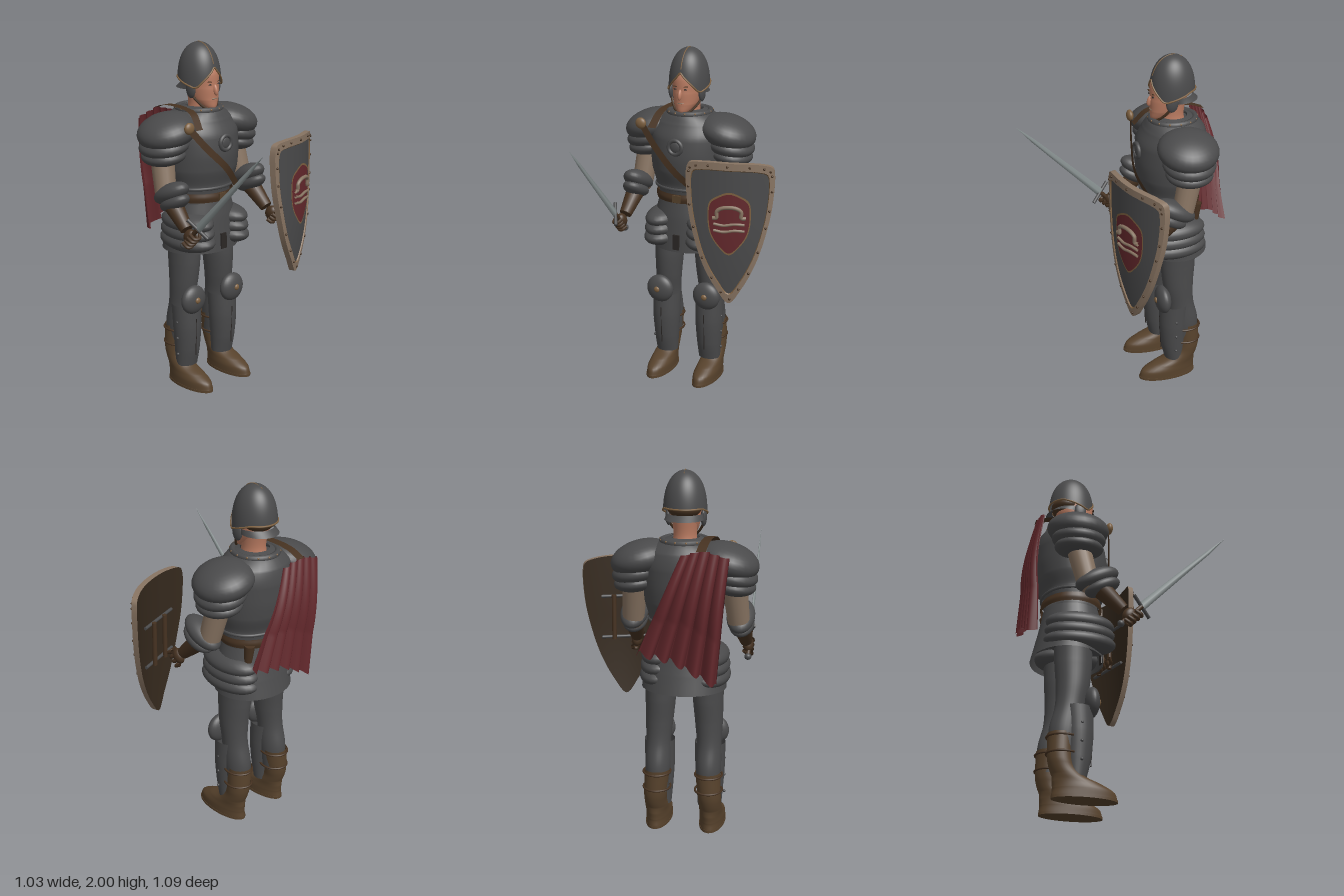
import * as THREE from 'three';
import { ParametricGeometry } from 'three/addons/geometries/ParametricGeometry.js';

const V = (x, y, z) => new THREE.Vector3(x, y, z);
const paint = (name, color) => Object.assign(new THREE.MeshStandardMaterial({ color, side: THREE.DoubleSide }), { name });
const M = {
  iron: paint('dark iron', 0x4a4a4b), steel: paint('blade steel', 0x8b9494), leather: paint('leather', 0x463221),
  boot: paint('boot leather', 0x57422c), hide: paint('pale hide', 0x887462), red: paint('dark red cloth', 0x64282c),
  skin: paint('skin', 0xbb7c62), wood: paint('dark wood', 0x35291d), brass: paint('brass', 0x7d6040), dark: paint('near black', 0x2b2725),
};

function add(parent, name, mat, geo) {
  const m = new THREE.Mesh(geo, mat);
  m.name = name;
  parent.add(m);
  return m;
}
function ball(parent, name, mat, p, r, rot = [0, 0, 0]) {
  const m = add(parent, name, mat, new THREE.SphereGeometry(1, 28, 18));
  m.position.set(...p); m.scale.set(...r); m.rotation.set(...rot);
  return m;
}
function box(parent, name, mat, p, s) {
  const m = add(parent, name, mat, new THREE.BoxGeometry(...s));
  m.position.set(...p);
  return m;
}
// Tapered cylinder between two points
function rod(parent, name, mat, a, b, ra, rb = ra) {
  const p = V(...a), d = V(...b).sub(p);
  const m = add(parent, name, mat, new THREE.CylinderGeometry(rb, ra, d.length(), 18));
  m.position.copy(p).addScaledVector(d, 0.5);
  m.quaternion.setFromUnitVectors(V(0, 1, 0), d.normalize());
  return m;
}
const sheet = (parent, name, mat, nu, nv, fn) =>
  add(parent, name, mat, new ParametricGeometry((u, v, t) => t.set(...fn(u, v)), nu, nv));
// Smooth stack of horizontal ellipses: [x, y, z, rx, rz]
function loft(parent, name, mat, rings) {
  const c = new THREE.CatmullRomCurve3(rings.map(r => V(r[0], r[1], r[2])));
  const q = new THREE.CatmullRomCurve3(rings.map(r => V(r[3], r[4], 0)));
  return sheet(parent, name, mat, 32, rings.length * 5, (u, v) => {
    const p = c.getPoint(v), r = q.getPoint(v), a = u * Math.PI * 2;
    return [p.x + Math.max(r.x, 0.001) * Math.cos(a), p.y, p.z - Math.max(r.y, 0.001) * Math.sin(a)];
  });
}
function tube(parent, name, mat, pts, r, closed = false) {
  const c = new THREE.CatmullRomCurve3(pts.map(p => V(...p)), closed);
  return add(parent, name, mat, new THREE.TubeGeometry(c, pts.length * 5, r, 8, closed));
}
function ribbon(parent, name, mat, pts, w) {
  const c = new THREE.CatmullRomCurve3(pts.map(p => V(...p)));
  return sheet(parent, name, mat, 2, 28, (u, v) => {
    const p = c.getPoint(v);
    return [p.x + (u - 0.5) * w[0], p.y + (u - 0.5) * w[1], p.z + (u - 0.5) * w[2]];
  });
}
function ring(parent, name, mat, p, rx, rz, t) {
  const m = add(parent, name, mat, new THREE.TorusGeometry(1, t / rx, 8, 36));
  m.position.set(...p); m.rotation.x = Math.PI / 2; m.scale.set(rx, rz, rx);
  return m;
}

function buildHead(g) {
  loft(g, 'neck', M.skin, [[0, 1.58, -0.27, 0.075, 0.08], [0, 1.66, -0.265, 0.062, 0.07], [0, 1.76, -0.27, 0.07, 0.08]]);
  loft(g, 'face', M.skin, [[0, 1.635, -0.185, 0.005, 0.005], [0, 1.645, -0.195, 0.035, 0.05], [0, 1.69, -0.225, 0.066, 0.085],
    [0, 1.75, -0.245, 0.08, 0.107], [0, 1.83, -0.25, 0.085, 0.11], [0, 1.9, -0.26, 0.07, 0.09], [0, 1.95, -0.26, 0.005, 0.005]]);
  ball(g, 'hair', M.leather, [0, 1.805, -0.295], [0.09, 0.055, 0.088]);
  ball(g, 'nose', M.skin, [0, 1.747, -0.138], [0.012, 0.032, 0.016], [-0.25, 0, 0]);
  ball(g, 'lips', M.hide, [0, 1.697, -0.145], [0.022, 0.004, 0.008]);
  for (const s of [-1, 1]) {
    ball(g, 'eye', M.dark, [s * 0.032, 1.777, -0.145], [0.01, 0.004, 0.005]);
    ball(g, 'eyebrow', M.leather, [s * 0.034, 1.793, -0.145], [0.016, 0.003, 0.005], [0, 0, s * 0.12]);
    ball(g, 'cheekPlate', M.iron, [s * 0.094, 1.75, -0.235], [0.016, 0.05, 0.035]);
    tube(g, 'chinStrap', M.leather, [[s * 0.1, 1.76, -0.25], [s * 0.085, 1.7, -0.215], [s * 0.04, 1.645, -0.175], [0, 1.637, -0.16]], 0.007);
  }
  // Helmet dome with a peaked opening over the brow
  const rim = a => a < 0.95 ? 1.868 - 0.11 * a / 0.95 : 1.758 + 0.05 * Math.min(1, (a - 0.95) / 1.2);
  const dome = (ang, k, grow = 1) => {
    const a = Math.abs(Math.atan2(Math.sin(ang), Math.cos(ang)));
    const y = rim(a) + (2.0 - rim(a)) * Math.sin(k * Math.PI / 2);
    const r = grow * Math.sqrt(Math.max(0.0001, 1 - Math.pow((y - 1.74) / 0.26, 2.9)));
    return [Math.sin(ang) * 0.117 * r, y, -0.268 + Math.cos(ang) * 0.13 * r];
  };
  sheet(g, 'helmet', M.iron, 60, 24, (u, v) => dome(u * Math.PI * 2, v));
  tube(g, 'helmetTrim', M.brass, Array.from({ length: 36 }, (_, i) => dome(i / 36 * Math.PI * 2, 0, 1.01)), 0.005, true);
  tube(g, 'helmetCrest', M.brass, [...[0.1, 0.3, 0.5, 0.7].map(k => dome(0, k, 1.005)), [0, 2.0, -0.26], dome(Math.PI, 0.75, 1.005)], 0.003);
  sheet(g, 'neckGuard', M.iron, 30, 3, (u, v) => {
    const a = Math.PI * (0.5 + u), f = 0.85 + 0.27 * v * Math.sin(u * Math.PI);
    return [0.117 * Math.sin(a) * f, 1.775 - 0.03 * v, -0.268 + 0.13 * Math.cos(a) * f];
  });
}

function buildTorso(g) {
  loft(g, 'cuirass', M.iron, [[0, 1.19, -0.26, 0.194, 0.165], [0, 1.22, -0.26, 0.196, 0.167], [0, 1.3, -0.262, 0.218, 0.192], [0, 1.4, -0.264, 0.226, 0.202],
    [0, 1.5, -0.27, 0.23, 0.198], [0, 1.58, -0.28, 0.2, 0.172], [0, 1.63, -0.275, 0.13, 0.135], [0, 1.65, -0.275, 0.08, 0.08]]);
  loft(g, 'waist', M.iron, [[0, 1.02, -0.26, 0.18, 0.16], [0, 1.12, -0.26, 0.178, 0.155], [0, 1.22, -0.26, 0.178, 0.155]]);
  ring(g, 'gorget', M.iron, [0, 1.63, -0.275], 0.118, 0.125, 0.018);
  for (let i = 0; i < 14; i++) {
    const a = i / 14 * Math.PI * 2;
    ball(g, 'gorgetStud', M.brass, [0.13 * Math.cos(a), 1.637, -0.275 + 0.138 * Math.sin(a)], [0.006, 0.006, 0.006]);
  }
  ring(g, 'cuirassEdge', M.iron, [0, 1.2, -0.26], 0.194, 0.166, 0.009);
  // Chest medallion
  for (const [name, mat, r, t] of [['medallionRing', M.iron, 0.04, 0.012], ['medallionTrim', M.brass, 0.024, 0.004]])
    add(g, name, mat, new THREE.TorusGeometry(r, t, 8, 28)).position.set(0.005, 1.46, -0.062);
  ball(g, 'medallion', M.iron, [0.005, 1.46, -0.067], [0.035, 0.035, 0.014]);
  loft(g, 'belt', M.leather, [[0, 1.12, -0.26, 0.188, 0.166], [0, 1.145, -0.26, 0.193, 0.171], [0, 1.172, -0.26, 0.188, 0.166]]);
  box(g, 'beltBuckle', M.boot, [0, 1.147, -0.088], [0.05, 0.042, 0.012]);
  rod(g, 'pouch', M.leather, [0.13, 1.14, -0.38], [0.13, 1.03, -0.37], 0.03, 0.022);
  // Skirt and layered hip plates
  loft(g, 'skirt', M.iron, [[0, 0.825, -0.28, 0.232, 0.2], [0, 0.93, -0.27, 0.222, 0.185], [0, 1.03, -0.262, 0.2, 0.17], [0, 1.12, -0.26, 0.175, 0.155]]);
  box(g, 'skirtSlit', M.dark, [0, 0.885, -0.082], [0.04, 0.09, 0.014]);
  for (const s of [-1, 1]) [1.0, 0.945, 0.89].forEach((y, i) =>
    ball(g, 'hipPlate', M.iron, [s * 0.133, y, -0.238], [0.108 + i * 0.004, 0.064, 0.19 + i * 0.005], [0, 0, -s * 0.08]));
}

function buildLeg(g, s) {
  const x = s * 0.142, t = s * 0.132, f = s * 0.153;
  loft(g, 'leg', M.iron, [[t, 0.92, -0.275, 0.088, 0.105], [t, 0.76, -0.272, 0.084, 0.102], [s * 0.138, 0.62, -0.275, 0.076, 0.09], [x, 0.5, -0.29, 0.068, 0.08],
    [x, 0.38, -0.31, 0.07, 0.088], [x, 0.22, -0.325, 0.06, 0.07]]);
  loft(g, 'greave', M.iron, [[x, 0.12, -0.255, 0.066, 0.058], [x, 0.22, -0.248, 0.074, 0.073], [x, 0.36, -0.245, 0.083, 0.083], [x, 0.5, -0.252, 0.085, 0.086]]);
  rod(g, 'greaveRidge', M.dark, [x, 0.19, -0.173], [x, 0.42, -0.162], 0.003);
  for (const y of [0.2, 0.3, 0.4]) ball(g, 'greaveStud', M.iron, [x + s * 0.08, y, -0.24], [0.008, 0.008, 0.008]);
  ball(g, 'kneePlate', M.iron, [s * 0.152, 0.54, -0.176], [0.085, 0.085, 0.044]);
  ball(g, 'kneeBoss', M.brass, [s * 0.155, 0.545, -0.134], [0.018, 0.018, 0.011]);
  // Boot
  loft(g, 'boot', M.boot, [[f, 0.012, -0.208, 0.07, 0.174], [f, 0.05, -0.213, 0.07, 0.165], [f, 0.085, -0.245, 0.066, 0.135], [f, 0.12, -0.29, 0.064, 0.09],
    [f, 0.18, -0.33, 0.063, 0.07], [x, 0.35, -0.335, 0.07, 0.07]]);
  const sole = add(g, 'sole', M.boot, new THREE.CylinderGeometry(1, 1, 0.014, 32));
  sole.position.set(f, 0.007, -0.208); sole.scale.set(0.072, 1, 0.176);
  for (const y of [0.33, 0.24]) ring(g, 'bootStrap', M.leather, [x + s * 0.003, y, -0.325], 0.075, 0.084, 0.006);
}

function buildArm(g, s) {
  // Layered shoulder plates
  ball(g, 'shoulderPlate', M.iron, [s * 0.235, 1.53, -0.28], [0.168, 0.095, 0.172], [0, 0, -s * 0.28]);
  ball(g, 'shoulderLame', M.iron, [s * 0.255, 1.455, -0.28], [0.14, 0.065, 0.15], [0, 0, -s * 0.2]);
  ball(g, 'shoulderLame', M.iron, [s * 0.262, 1.4, -0.28], [0.122, 0.055, 0.135], [0, 0, -s * 0.15]);
  rod(g, 'upperArm', M.hide, [s * 0.268, 1.42, -0.29], [s * 0.29, 1.18, -0.235], 0.068, 0.06);
  ball(g, 'elbow', M.hide, [s * 0.29, 1.18, -0.235], [0.06, 0.058, 0.058]);
  ball(g, 'elbowPlate', M.iron, [s * 0.294, 1.205, -0.185], [0.077, 0.055, 0.13], [-0.47, 0, 0]);
  ball(g, 'elbowLame', M.iron, [s * 0.296, 1.158, -0.155], [0.07, 0.045, 0.105], [-0.47, 0, 0]);
  rod(g, 'gloveCuff', M.leather, [s * 0.3, 1.15, -0.17], [s * 0.31, 1.03, -0.045], 0.056, 0.036);
  ball(g, 'hand', M.leather, [s * 0.318, 1.0, -0.012], [0.03, 0.045, 0.036], [0.6, 0, 0]);
  for (let i = 0; i < 4; i++) {
    const y = 0.962 + i * 0.02, z = -0.03 + i * 0.02;
    tube(g, 'finger', M.leather, [[s * 0.34, y, z - 0.015], [s * 0.337, y - 0.02, z + 0.02], [s * 0.31, y - 0.018, z + 0.027], [s * 0.292, y, z + 0.01]], 0.01);
  }
}

function buildSword() {
  const g = new THREE.Group();
  g.name = 'sword';
  const blade = add(g, 'blade', M.steel, new THREE.CylinderGeometry(0.012, 0.024, 0.56, 4));
  blade.position.y = 0.36; blade.scale.x = 0.4;
  const tip = add(g, 'bladeTip', M.steel, new THREE.ConeGeometry(0.012, 0.14, 4));
  tip.position.y = 0.71; tip.scale.x = 0.4;
  rod(g, 'guard', M.iron, [-0.028, 0.08, -0.07], [0.028, 0.08, 0.07], 0.01);
  rod(g, 'grip', M.leather, [0, -0.08, 0], [0, 0.08, 0], 0.013);
  ball(g, 'pommel', M.iron, [0, -0.085, 0], [0.02, 0.018, 0.02]);
  g.position.set(-0.442, 1.0, 0.0);
  g.rotation.x = Math.PI / 4;
  return g;
}

function buildShield() {
  const g = new THREE.Group();
  g.name = 'shield';
  const curve = pts => new THREE.CatmullRomCurve3(pts.map(p => V(p[0], p[1], 0)), true);
  const outline = curve([[-0.24, 0.31], [-0.225, 0.34], [-0.15, 0.352], [0, 0.35], [0.17, 0.34], [0.23, 0.32], [0.242, 0.28], [0.235, 0.12],
    [0.21, -0.02], [0.15, -0.22], [0.07, -0.38], [0, -0.467], [-0.07, -0.38], [-0.15, -0.23], [-0.22, 0.02], [-0.24, 0.18]]);
  const badge = curve([[-0.105, 0.13], [-0.06, 0.165], [0, 0.185], [0.06, 0.165], [0.105, 0.13], [0.115, 0.04], [0.1, -0.05], [0.06, -0.115], [0, -0.165],
    [-0.06, -0.115], [-0.1, -0.05], [-0.115, 0.04]]);
  const at = (u, k, z, edge = outline) => {
    const p = edge.getPoint(u % 1), x = p.x * k, y = p.y * k;
    return [x, y, z - 0.85 * x * x - (y < 0 ? 0.12 * y * y : 0)];
  };
  const layer = (name, mat, k0, k1, z0, z1 = z0, edge = outline) =>
    sheet(g, name, mat, 96, 10, (u, v) => at(u, k1 + (k0 - k1) * v, z1 + (z0 - z1) * v, edge));
  layer('shieldFace', M.iron, 0.01, 0.9, 0);
  layer('shieldRim', M.hide, 0.885, 1, 0.008);
  layer('shieldRimInner', M.brass, 0.872, 0.888, 0.002, 0.009);
  layer('shieldEdge', M.hide, 1, 1, -0.026, 0.008);
  layer('shieldBack', M.wood, 0.01, 1, -0.026);
  // Raised red badge with an arch over two bands
  layer('badge', M.red, 0.01, 1, 0.012, 0.012, badge);
  layer('badgeBorder', M.brass, 0.97, 1.03, 0.015, 0.015, badge);
  tube(g, 'badgeArch', M.hide, [[-0.09, 0.045, 0.014], [-0.068, 0.048, 0.018], [-0.066, 0.085, 0.02], [-0.035, 0.105, 0.024], [0.035, 0.105, 0.024],
    [0.066, 0.085, 0.02], [0.068, 0.048, 0.018], [0.09, 0.045, 0.014]], 0.011);
  for (const y of [0.012, -0.025]) tube(g, 'badgeBand', M.hide, [[-0.085, y, 0.014], [-0.03, y - 0.008, 0.019], [0.03, y, 0.019], [0.085, y - 0.004, 0.014]], 0.008);
  for (let i = 0; i < 22; i++) ball(g, 'rivet', M.leather, at(i / 22, 0.945, 0.01), [0.007, 0.007, 0.006]);
  // Holding bars
  for (const y of [0.12, -0.12]) rod(g, 'holdingBar', M.iron, [-0.14, y, -0.06], [0.14, y, -0.06], 0.009);
  for (const x of [-0.04, 0.07]) rod(g, 'armStrap', M.leather, [x, -0.13, -0.075], [x, 0.13, -0.075], 0.013);
  g.position.set(0.297, 1.11, 0.118);
  g.rotation.y = 0.33;
  return g;
}

export function createModel() {
  const model = new THREE.Group();
  model.name = 'knight';
  const body = new THREE.Group();
  body.name = 'body';
  body.position.x = -0.12;
  model.add(body);
  buildHead(body);
  buildTorso(body);
  for (const s of [-1, 1]) { buildLeg(body, s); buildArm(body, s); }
  model.add(buildSword(), buildShield());

  // Shoulder strap, chest strap and buckle
  ribbon(model, 'shoulderStrap', M.leather, [[-0.24, 1.615, -0.5], [-0.245, 1.642, -0.42], [-0.25, 1.65, -0.3], [-0.26, 1.63, -0.17], [-0.28, 1.55, -0.095]], [0.05, 0, 0]);
  ribbon(model, 'chestStrap', M.leather, [[-0.35, 1.57, -0.105], [-0.25, 1.45, -0.075], [-0.12, 1.32, -0.055], [0.01, 1.19, -0.11]], [0.03, 0.028, 0]);
  ball(model, 'strapBuckle', M.brass, [-0.35, 1.57, -0.1], [0.033, 0.033, 0.02]);

  // Cape hung from one shoulder, fanning out across the back
  sheet(model, 'cape', M.red, 90, 24, (u, v) => [
    -0.395 + 0.27 * u + v * (0.06 + 0.17 * u) + 0.01 * Math.cos(u * 34),
    1.62 - 0.08 * Math.abs(u - 0.55) - v * (0.68 - 0.16 * u) + 0.012 * v * Math.cos(u * 34),
    -0.48 - 0.04 * Math.sin(Math.min(1, v * 1.5 + 0.05) * Math.PI * 0.7) + 0.028 * (0.4 + 0.6 * v) * Math.sin(u * 34 + v)]);
  return model;
}
